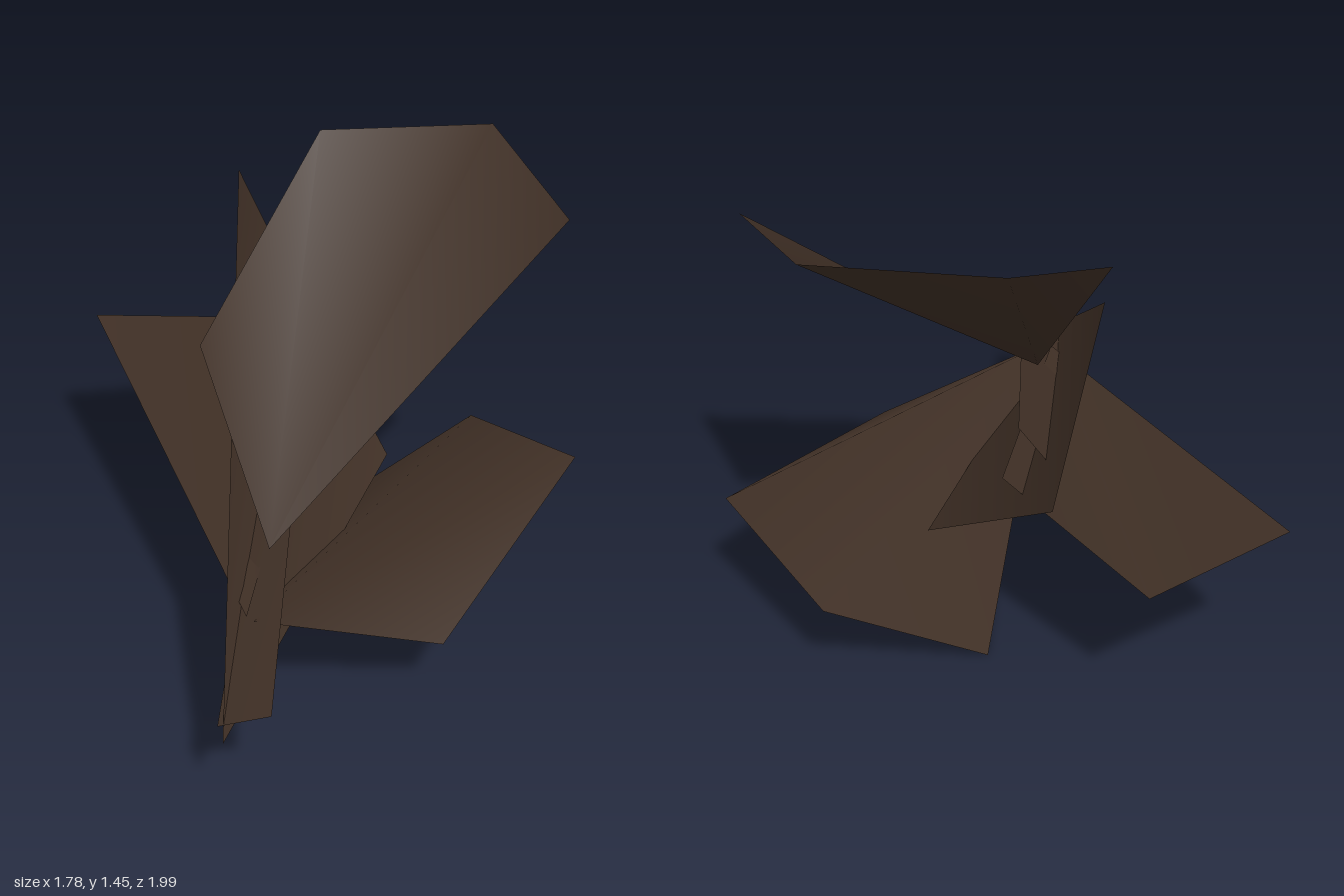
import * as THREE from 'three';

// One dark brown for every leaf; leaves are thin open sheets
const bark = new THREE.MeshStandardMaterial({ color: 0x3f2f25, side: THREE.DoubleSide });
bark.name = 'dark brown';

// A leaf is a fan of creased triangles spreading from its base point to its rim
function leaf(name, base, rim) {
  const geo = new THREE.BufferGeometry();
  geo.setAttribute('position', new THREE.Float32BufferAttribute([base, ...rim].flat(), 3));
  const index = [];
  for (let i = 1; i < rim.length; i++) index.push(0, i, i + 1);
  geo.setIndex(index);
  geo.computeVertexNormals();
  const mesh = new THREE.Mesh(geo, bark);
  mesh.name = name;
  return mesh;
}

export function createModel() {
  const group = new THREE.Group();
  group.name = 'leafCluster';
  group.add(
    // large leaf rising to the back
    leaf('uprightLeaf', [0.27, 0.48, 0.33],
      [[0.84, 1.36, -0.58], [0.415, 1.455, -0.975], [-0.115, 1.41, -0.75], [-0.08, 1.02, 0.14]]),
    // steep leaf on the right, pointed at the front
    leaf('steepLeaf', [0.47, 0.27, 0.99],
      [[0.27, 0.345, -0.55], [-0.305, 0.78, -0.895], [-0.33, 1.29, -0.57]]),
    // flat leaf reaching out to the right
    leaf('rightLeaf', [0.33, 0.41, 0.59],
      [[-0.02, 0.65, -0.61], [-0.585, 0.53, -0.855], [-0.89, 0.62, -0.51]]),
    // broad folded leaf drooping at the bottom
    leaf('lowerLeaf', [0.36, 0.41, 0.6],
      [[0.82, 0.23, 0.21], [0.89, 0.42, -0.73], [0.4, 0.305, -1.0], [0.02, 0.005, -0.66]]),
    // narrow strip running forward like a stem
    leaf('stemLeaf', [0.43, 0.29, 0.95],
      [[0.58, 0.35, 0.9], [0.05, 0.65, -0.33], [-0.13, 0.635, -0.48]]),
  );
  return group;
}
